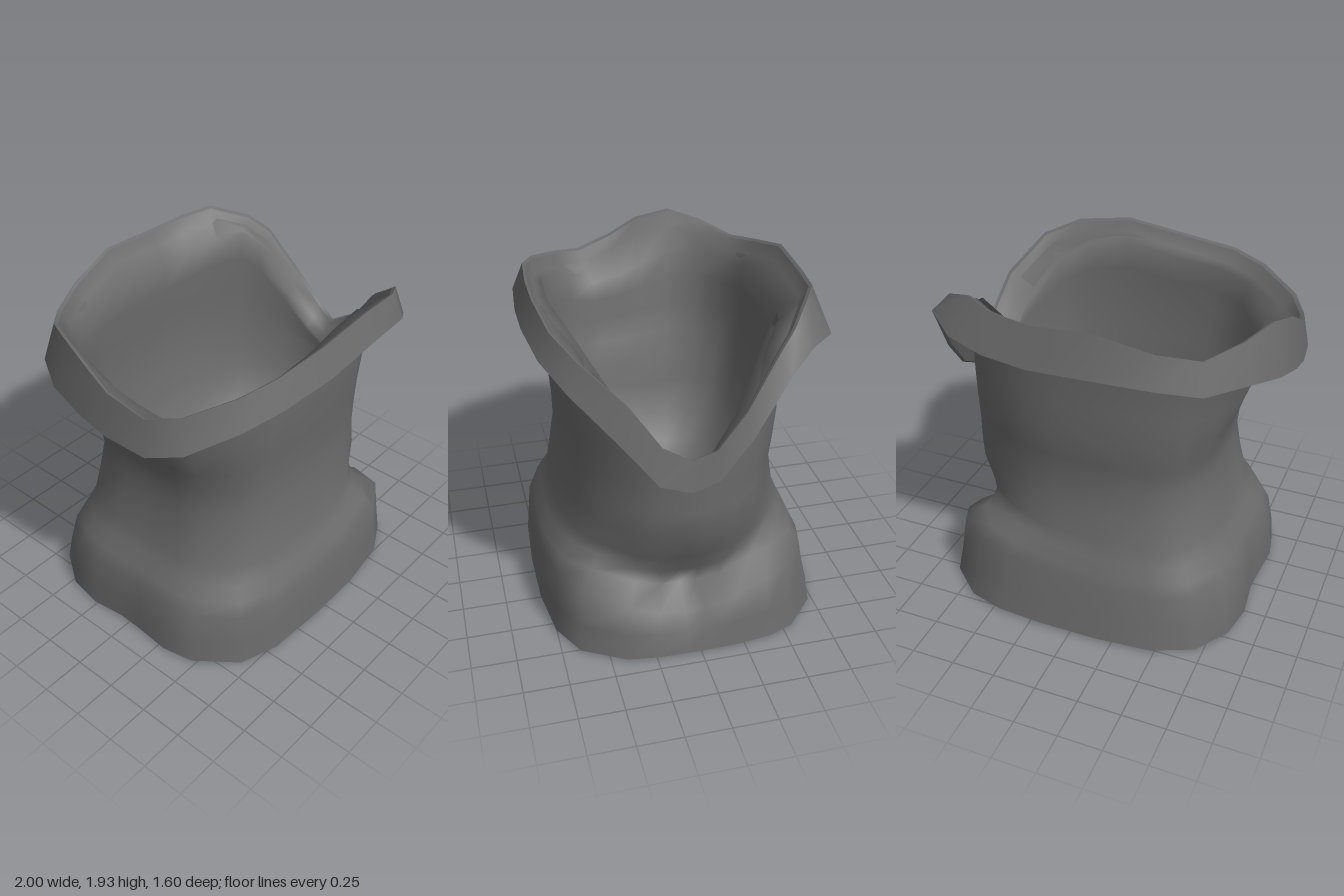
import * as THREE from 'three';

const { smoothstep, lerp } = THREE.MathUtils;
const material = new THREE.MeshStandardMaterial({ color: 0x6a6a6a, side: THREE.DoubleSide });

// Cuff stations, from the left side round by the front:
// x, z, lower edge y, upper edge y, extra lean of the upper edge
const RIM = [
  [0.97, 0.08, 1.10, 1.27, 0], [0.98, 0.25, 1.17, 1.37, 0], [0.92, 0.42, 1.38, 1.59, 0],
  [0.77, 0.65, 1.62, 1.78, 0], [0.57, 0.76, 1.72, 1.86, 0], [0.25, 0.80, 1.75, 1.90, 0],
  [-0.10, 0.79, 1.70, 1.86, 0], [-0.44, 0.76, 1.68, 1.83, 0], [-0.65, 0.68, 1.63, 1.79, 0],
  [-0.88, 0.50, 1.53, 1.72, 0], [-0.97, 0.33, 1.49, 1.69, 0], [-1.00, 0.10, 1.52, 1.76, 0],
  [-1.00, -0.07, 1.56, 1.85, 0.01], [-0.97, -0.29, 1.62, 1.905, 0.03], [-0.86, -0.48, 1.65, 1.86, 0.02],
  [-0.68, -0.64, 1.63, 1.80, 0], [-0.46, -0.74, 1.67, 1.84, 0], [-0.15, -0.79, 1.69, 1.915, 0],
  [0.20, -0.79, 1.68, 1.895, 0], [0.45, -0.77, 1.70, 1.91, 0.02], [0.66, -0.72, 1.74, 1.935, 0.07],
  [0.85, -0.55, 1.77, 1.85, 0.05], [0.92, -0.42, 1.66, 1.76, 0.03],
  [0.98, -0.22, 1.37, 1.51, 0.01], [1.00, -0.05, 1.17, 1.33, 0],
];

// Body outline on its four sides, as [y, distance from the axis];
// leftSoft replaces left away from the pinch, where the shelf fades
const SIDE = {
  left: [[0, 0.93], [0.34, 0.87], [0.4, 0.72], [0.55, 0.77], [0.75, 0.86], [1.2, 0.87], [1.8, 0.87]],
  leftSoft: [[0, 0.93], [0.34, 0.87], [0.4, 0.81], [0.57, 0.79], [0.75, 0.83], [1.2, 0.87], [1.8, 0.87]],
  right: [[0, 0.885], [0.3, 0.86], [0.55, 0.69], [0.87, 0.62], [1.07, 0.64], [1.33, 0.735], [1.45, 0.735], [1.8, 0.87]],
  front: [[0, 0.8], [0.35, 0.77], [0.57, 0.66], [0.9, 0.61], [1.15, 0.61], [1.4, 0.645], [1.8, 0.645]],
  back: [[0, 0.8], [0.35, 0.72], [0.58, 0.63], [0.9, 0.575], [1.2, 0.61], [1.5, 0.6], [1.8, 0.61]],
};

function sample(profile, y) {
  for (let k = 1; k < profile.length; k++) {
    const [y0, r0] = profile[k - 1], [y1, r1] = profile[k];
    if (y <= y1) return lerp(r0, r1, (y - y0) / (y1 - y0));
  }
  return profile[profile.length - 1][1];
}

// Squareness of the body: full at the hem and on the right, rounder above the left shelf
function squareness(c, s, y) {
  const upper = smoothstep(y, 0.33, 0.5);
  const left = smoothstep(c, -0.1, 0.4);
  return 3.5 - upper * left * (s > 0 ? 1.1 : 1.4);
}

// Point on the body at one station, moved inwards by inset
function bodyPoint([rx, rz], y, inset = 0) {
  const angle = Math.atan2(rz, rx), c = Math.cos(angle), s = Math.sin(angle);
  const away = Math.abs(angle - 0.08);
  const a = c > 0
    ? lerp(sample(SIDE.left, y), sample(SIDE.leftSoft, y), smoothstep(away, 0.4, 0.95))
    : sample(SIDE.right, y);
  const b = sample(s > 0 ? SIDE.front : SIDE.back, y);
  const n = squareness(c, s, y);
  let r = (Math.abs(c / a) ** n + Math.abs(s / b) ** n) ** (-1 / n) - inset;
  let lift = 0;
  if (c > 0) {
    // pinch above the left hip, its shelf rising in a V to both sides
    r -= 0.09 * Math.exp(-((away / 0.2) ** 2) - ((y - 0.43) / 0.13) ** 2);
    lift = c * (0.22 * smoothstep(away, 0, 0.75) - 0.12)
      * Math.exp(-(((y - 0.39) / 0.17) ** 2));
  } else {
    // shallow hollow low on the right
    r -= 0.04 * Math.exp(-(((Math.PI - Math.abs(angle)) / 0.16) ** 2) - ((y - 0.1) / 0.35) ** 2);
  }
  return [r * c, y + lift, r * s];
}

// Cuff point: x and z scaled inwards from the flared lower edge
const cuffPoint = (p, sx, sz, y) => [p[0] * sx, y, p[1] * sz];
const topPoint = (p, sx, sz, drop) => cuffPoint(p, sx - p[4], sz - p[4], p[3] - drop);

// Closed-loop loft through rings, each given as a function of the station
function loft(name, rings) {
  const n = RIM.length, pos = [], index = [];
  for (const ring of rings) for (const p of RIM) pos.push(...ring(p));
  for (let k = 0; k < rings.length - 1; k++) {
    for (let i = 0; i < n; i++) {
      const j = (i + 1) % n, a = k * n + i, b = k * n + j;
      index.push(a, a + n, b, b, a + n, b + n);
    }
  }
  const g = new THREE.BufferGeometry();
  g.setAttribute('position', new THREE.Float32BufferAttribute(pos, 3));
  g.setIndex(index);
  g.computeVertexNormals();
  const mesh = new THREE.Mesh(g, material);
  mesh.name = name;
  return mesh;
}

export function createModel() {
  const group = new THREE.Group();
  group.name = 'draped pouch';

  // Outer wall: level rings up to the waist, then rings that follow the slanting cuff
  const levels = [0.012, 0.16, 0.33, 0.4, 0.48, 0.57, 0.75, 0.9, 1.05];
  const climb = [0.25, 0.52, 0.78, 1];
  const upperY = (p, f) => lerp(1.05, p[2] + 0.05, f);
  group.add(loft('outerWall', [
    ...levels.map(y => p => bodyPoint(p, y)),
    ...climb.map(f => p => bodyPoint(p, upperY(p, f))),
    p => topPoint(p, 0.935, 0.89, 0.05),
  ]));

  // Flat underside
  group.add(loft('underside', [
    () => [0, 0, 0],
    p => bodyPoint(p, 0.012),
  ]));

  // Folded cuff: outside face, hem, hidden back face and top edge
  group.add(loft('cuffOutside', [
    p => cuffPoint(p, 1, 1, p[2]),
    p => topPoint(p, 0.965, 0.92, 0),
  ]));
  group.add(loft('cuffHem', [
    p => cuffPoint(p, 0.98, 0.975, p[2] + 0.01),
    p => cuffPoint(p, 1, 1, p[2]),
  ]));
  group.add(loft('cuffBack', [
    p => topPoint(p, 0.935, 0.89, 0.05),
    p => cuffPoint(p, 0.98, 0.975, p[2] + 0.01),
  ]));
  group.add(loft('cuffTopEdge', [
    p => topPoint(p, 0.965, 0.92, 0),
    p => topPoint(p, 0.945, 0.9, 0.01),
  ]));

  // Lining: down the inside and into a rounded bowl
  const bowl = (y, scale) => p => {
    const [x, , z] = bodyPoint(p, 0.9, 0.04);
    return [x * scale, y, z * scale];
  };
  group.add(loft('lining', [
    p => topPoint(p, 0.945, 0.9, 0.01),
    p => topPoint(p, 0.9, 0.85, 0.08),
    ...[...climb].reverse().map(f => p => bodyPoint(p, upperY(p, f), 0.03)),
    p => bodyPoint(p, 1.05, 0.04),
    bowl(0.9, 0.98), bowl(0.72, 0.88), bowl(0.56, 0.7), bowl(0.44, 0.46), bowl(0.39, 0.22), bowl(0.38, 0),
  ]));
  return group;
}
